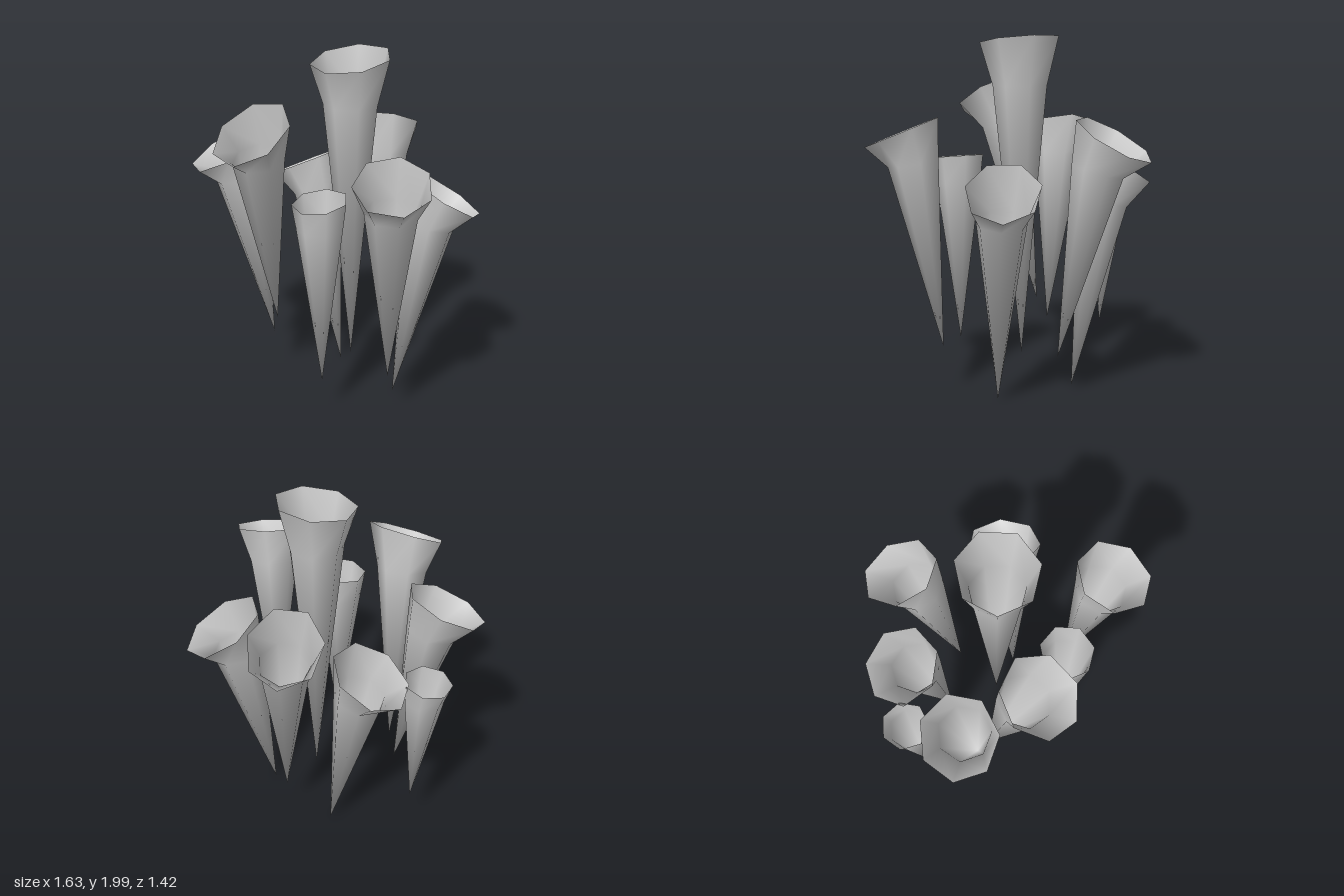
import * as THREE from 'three';

const SIDES = 7;

// One ring of a horn: centre, radius, and slopes of its plane along x and z.
function ring(center, radius, slopeX, slopeZ, phase) {
  return Array.from({ length: SIDES }, (_, i) => {
    const a = phase + (i / SIDES) * Math.PI * 2;
    const dx = Math.cos(a) * radius, dz = Math.sin(a) * radius;
    return new THREE.Vector3(center.x + dx, center.y + dx * slopeX + dz * slopeZ, center.z + dz);
  });
}

// Open, hollow seven-sided horn: pointed tip, neck ring and a flared, tilted mouth.
function hornGeometry({ tip, top, r, tilt, phase, neck = 0.69 }) {
  const t = new THREE.Vector3(...tip), c = new THREE.Vector3(...top);
  const axis = c.clone().sub(t);
  const p = THREE.MathUtils.degToRad(phase);
  // the neck sits a little inside the straight line, so the mouth bends outward
  const neckCenter = axis.clone().multiply(new THREE.Vector3(0.71, 0.86, 0.71)).add(t);
  const neckRing = ring(neckCenter, r * neck, -axis.x / axis.y, -axis.z / axis.y, p);
  const points = [t, ...neckRing, ...ring(c, r, tilt[0], tilt[1], p)];
  const index = [];
  for (let i = 0; i < SIDES; i++) {
    const n0 = 1 + i, n1 = 1 + ((i + 1) % SIDES);
    const r0 = n0 + SIDES, r1 = n1 + SIDES;
    index.push(0, n0, n1, n0, r0, n1, n1, r0, r1);
  }
  const geometry = new THREE.BufferGeometry().setFromPoints(points);
  geometry.setIndex(index);
  geometry.computeVertexNormals();
  return geometry;
}

// tip and mouth centre, mouth radius, mouth slope along x and z, turn of the mouth in degrees
const HORNS = [
  { name: 'centreHorn', tip: [0.02, 0.21, -0.02], top: [0.025, 1.965, -0.015], r: 0.22, tilt: [0.01, -0.15], phase: 180 },
  { name: 'backRightHorn', tip: [-0.03, 0.25, -0.31], top: [-0.25, 1.455, -0.51], r: 0.204, tilt: [0.33, 0.45], phase: -74 },
  { name: 'backLeftHorn', tip: [0.25, 0.01, -0.14], top: [0.367, 1.21, -0.395], r: 0.205, tilt: [-0.35, 0.52], phase: -6 },
  { name: 'rightHorn', tip: [-0.23, 0.01, -0.155], top: [-0.52, 1.22, -0.155], r: 0.202, tilt: [0.5, -0.1], phase: -81 },
  { name: 'leftHorn', tip: [0.46, 0.285, 0.09], top: [0.623, 1.48, 0.22], r: 0.207, tilt: [-0.31, -0.27], phase: -76 },
  { name: 'frontRightHorn', tip: [-0.34, 0.3, 0.26], top: [-0.547, 1.41, 0.395], r: 0.21, tilt: [0.25, -0.45], phase: -18 },
  { name: 'frontHorn', tip: [-0.28, 0.42, 0.28], top: [-0.133, 1.63, 0.53], r: 0.207, tilt: [-0.12, -0.57], phase: -90 },
  { name: 'smallRightHorn', tip: [-0.61, 0.275, 0.1], top: [-0.692, 1.14, 0.1], r: 0.13, tilt: [0.12, -0.03], phase: 87, neck: 0.86 },
  { name: 'smallFrontHorn', tip: [0.205, 0.24, 0.345], top: [0.207, 1.305, 0.35], r: 0.15, tilt: [0.01, -0.13], phase: -76, neck: 0.86 },
];

export function createModel() {
  const group = new THREE.Group();
  group.name = 'hornCluster';
  const material = new THREE.MeshStandardMaterial({ color: 0xcccccc, side: THREE.DoubleSide });
  for (const horn of HORNS) {
    const mesh = new THREE.Mesh(hornGeometry(horn), material);
    mesh.name = horn.name;
    group.add(mesh);
  }
  return group;
}
